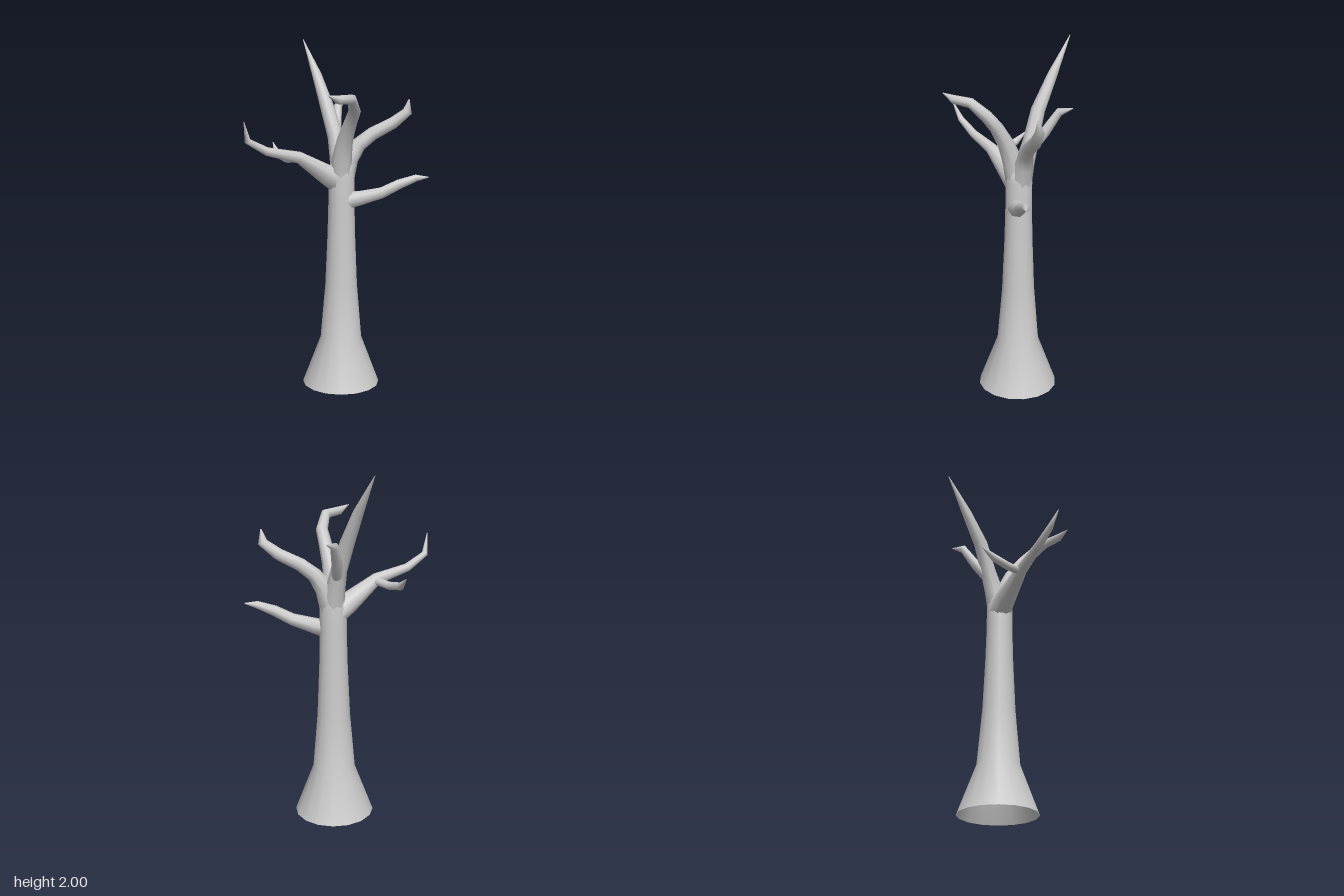
import * as THREE from 'three';

const material = new THREE.MeshStandardMaterial({ color: 0xcccccc, side: THREE.DoubleSide });

// Tapered limb swept along knots of [x, y, z, radius]
function limb(name, knots, sides = 8) {
  const points = knots.map(k => new THREE.Vector3(k[0], k[1], k[2]));
  const last = points.length - 1;
  const tangent = i => {
    const t = new THREE.Vector3();
    if (i > 0) t.add(points[i].clone().sub(points[i - 1]).normalize());
    if (i < last) t.add(points[i + 1].clone().sub(points[i]).normalize());
    return t.normalize();
  };
  let t = tangent(0);
  const u = new THREE.Vector3(0, 0, 1).cross(t).normalize();
  const positions = [], index = [];
  points.forEach((p, i) => {
    // Carry the ring's frame along without twisting
    const next = tangent(i);
    u.applyQuaternion(new THREE.Quaternion().setFromUnitVectors(t, next));
    t = next;
    const v = t.clone().cross(u);
    for (let j = 0; j < sides; j++) {
      const a = j / sides * Math.PI * 2;
      const q = p.clone()
        .addScaledVector(u, Math.cos(a) * knots[i][3])
        .addScaledVector(v, Math.sin(a) * knots[i][3]);
      positions.push(q.x, q.y, q.z);
      if (i < last) {
        const k = (j + 1) % sides, r = i * sides, s = r + sides;
        index.push(r + j, r + k, s + j, r + k, s + k, s + j);
      }
    }
  });
  const geometry = new THREE.BufferGeometry();
  geometry.setAttribute('position', new THREE.Float32BufferAttribute(positions, 3));
  geometry.setIndex(index);
  geometry.computeVertexNormals();
  const mesh = new THREE.Mesh(geometry, material);
  mesh.name = name;
  return mesh;
}

export function createModel() {
  const tree = new THREE.Group();
  tree.name = 'bareTree';

  // Trunk with flared, open foot
  const profile = [[0.225, 0], [0.12, 0.28], [0.093, 0.6], [0.08, 0.9],
    [0.075, 1.1], [0.075, 1.24], [0.066, 1.31], [0.03, 1.34], [0, 1.345]];
  const trunk = new THREE.Mesh(
    new THREE.LatheGeometry(profile.map(p => new THREE.Vector2(...p)), 16), material);
  trunk.name = 'trunk';
  trunk.position.x = 0.135;
  tree.add(trunk);

  // Crown: three main boughs splitting from the top of the trunk
  tree.add(limb('tallBackBough', [[0.14, 1.2, 0, 0.065], [0.15, 1.34, -0.035, 0.054],
    [0.16, 1.46, -0.075, 0.045], [0.16, 1.62, -0.14, 0.04],
    [0.18, 1.8, -0.245, 0.028], [0.2, 2, -0.38, 0.002]]));
  tree.add(limb('rightFrontBough', [[0.14, 1.2, 0, 0.065], [0.18, 1.34, 0.02, 0.052],
    [0.22, 1.42, 0.055, 0.042], [0.28, 1.48, 0.105, 0.038], [0.37, 1.54, 0.18, 0.034],
    [0.43, 1.605, 0.235, 0.028], [0.43, 1.675, 0.245, 0.003]]));
  tree.add(limb('leftFrontBough', [[0.13, 1.2, 0, 0.065], [0.112, 1.35, 0.025, 0.056],
    [0.095, 1.46, 0.065, 0.045], [0.075, 1.56, 0.125, 0.037], [0.05, 1.63, 0.18, 0.034],
    [-0.02, 1.7, 0.225, 0.028], [-0.13, 1.705, 0.23, 0.024], [-0.205, 1.73, 0.23, 0.002]]));

  // Side branches and twigs
  tree.add(limb('backBoughTwig', [[0.16, 1.4, -0.06, 0.03], [0.22, 1.51, -0.125, 0.03],
    [0.28, 1.62, -0.17, 0.024], [0.355, 1.645, -0.19, 0.002]]));
  tree.add(limb('leftBranch', [[0.13, 1.2, -0.01, 0.068], [0.05, 1.255, -0.04, 0.06],
    [-0.12, 1.365, -0.085, 0.034], [-0.3, 1.41, -0.148, 0.024],
    [-0.415, 1.475, -0.175, 0.018], [-0.46, 1.585, -0.15, 0.002]]));
  tree.add(limb('leftBranchTwig', [[-0.1, 1.36, -0.08, 0.024], [-0.112, 1.345, -0.19, 0.023],
    [-0.1, 1.362, -0.285, 0.022], [-0.068, 1.42, -0.357, 0.002]]));
  tree.add(limb('lowFrontBranch', [[0.14, 1.1, 0.02, 0.055], [0.185, 1.115, 0.09, 0.045],
    [0.27, 1.15, 0.19, 0.034], [0.34, 1.2, 0.26, 0.03],
    [0.41, 1.235, 0.325, 0.021], [0.455, 1.24, 0.378, 0.003]]));

  return tree;
}
